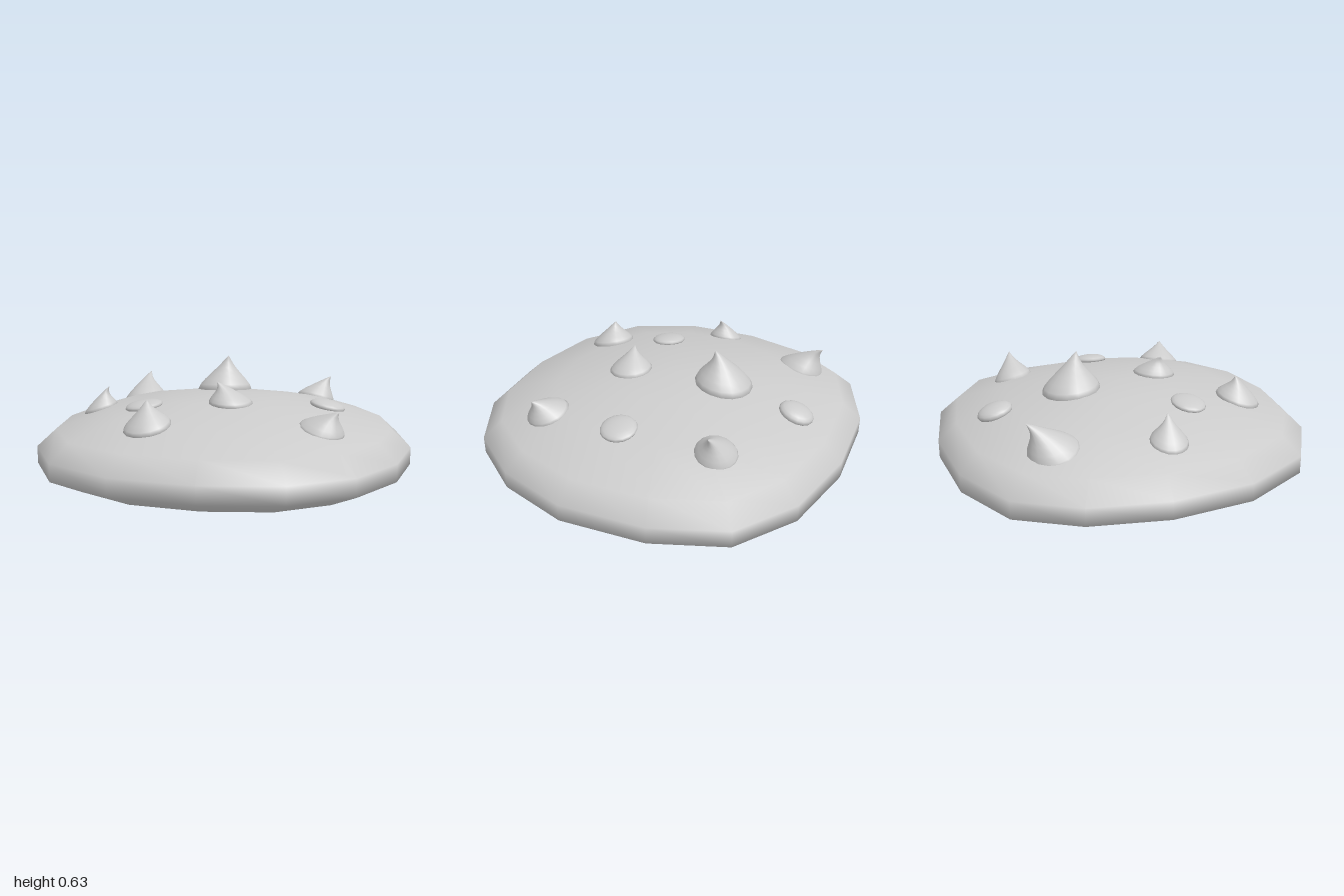
import * as THREE from 'three';
import { mergeVertices } from 'three/addons/utils/BufferGeometryUtils.js';

const material = new THREE.MeshStandardMaterial({ color: 0xcccccc });

// biscuit cross-section, bottom to top: [radius, height]
const PROFILE = [
  [0, 0], [0.45, 0.008], [0.84, 0.035], [1, 0.11], [1, 0.2],
  [0.9, 0.29], [0.62, 0.38], [0.3, 0.435], [0, 0.455],
];

// uneven rim seen from above: [x, z]
const RIM = [
  [0.04, 0.975], [0.43, 0.92], [0.73, 0.73], [0.915, 0.43],
  [0.995, 0.05], [0.93, -0.39], [0.76, -0.74], [0.44, -0.925],
  [0.01, -0.98], [-0.44, -0.925], [-0.78, -0.75], [-0.945, -0.45],
  [-1, -0.06], [-0.94, 0.36], [-0.73, 0.72], [-0.38, 0.92],
];

// join the lathe seam and shade smoothly
function smooth(geometry) {
  geometry.deleteAttribute('uv');
  geometry.deleteAttribute('normal');
  const merged = mergeVertices(geometry, 1e-5);
  merged.computeVertexNormals();
  return merged;
}

// height of the biscuit's top at (x, z)
function topHeight(x, z) {
  const r = Math.hypot(x, z) / 0.985;
  for (let i = PROFILE.length - 1; i > 4; i--) {
    const [r0, y0] = PROFILE[i];
    const [r1, y1] = PROFILE[i - 1];
    if (r <= r1) return y0 + (y1 - y0) * (r - r0) / (r1 - r0);
  }
  return 0.2;
}

// rotation from upright to the slope of the top at (x, z)
function topTilt(x, z) {
  const e = 0.1;
  const normal = new THREE.Vector3(
    topHeight(x - e, z) - topHeight(x + e, z), 2 * e,
    topHeight(x, z - e) - topHeight(x, z + e)).normalize();
  return new THREE.Quaternion().setFromUnitVectors(new THREE.Vector3(0, 1, 0), normal);
}

function makeBiscuit() {
  const points = PROFILE.map(([r, y]) => new THREE.Vector2(r, y));
  const geometry = new THREE.LatheGeometry(points, RIM.length);
  const pos = geometry.attributes.position;
  for (let i = 0; i < pos.count; i++) {
    const [r] = PROFILE[i % PROFILE.length];
    const [x, z] = RIM[Math.floor(i / PROFILE.length) % RIM.length];
    pos.setX(i, r * x);
    pos.setZ(i, r * z);
  }
  return new THREE.Mesh(smooth(geometry), material);
}

// teardrop chip whose point curls over to a given tip
function makePointedChip([x, z, radius, tipX, tipY, tipZ]) {
  const base = new THREE.Vector3(x, topHeight(x, z), z);
  const tilt = topTilt(x, z);
  const tip = new THREE.Vector3(tipX, tipY, tipZ).sub(base).applyQuaternion(tilt.clone().invert());
  const spine = new THREE.QuadraticBezierCurve3(
    new THREE.Vector3(),
    new THREE.Vector3(tip.x * 0.25, tip.y * 0.65, tip.z * 0.25), tip);
  const shape = [
    [0.9, -0.18], [1, 0], [0.93, 0.1], [0.76, 0.24], [0.55, 0.4],
    [0.36, 0.56], [0.2, 0.73], [0.09, 0.88], [0, 1],
  ];
  const geometry = new THREE.LatheGeometry(shape.map(([r, t]) => new THREE.Vector2(r * radius, t)), 16);
  const pos = geometry.attributes.position;
  for (let i = 0; i < pos.count; i++) {
    const t = pos.getY(i);
    const c = spine.getPoint(Math.max(t, 0));
    const y = t < 0 ? t * tip.y : c.y;
    pos.setXYZ(i, pos.getX(i) + c.x, y, pos.getZ(i) + c.z);
  }
  const mesh = new THREE.Mesh(smooth(geometry), material);
  mesh.position.copy(base);
  mesh.quaternion.copy(tilt);
  return mesh;
}

// chip sunk upside down, showing only a low button
function makeFlatChip([x, z, rx, rz, height]) {
  const mesh = new THREE.Mesh(new THREE.SphereGeometry(1, 16, 10), material);
  mesh.scale.set(rx, height, rz);
  mesh.position.set(x, topHeight(x, z) + 0.008, z);
  mesh.quaternion.copy(topTilt(x, z));
  return mesh;
}

export function createModel() {
  const model = new THREE.Group();
  const add = (mesh, name) => {
    mesh.name = name;
    model.add(mesh);
  };

  add(makeBiscuit(), 'biscuit');

  // x, z, radius, then tip x, y, z
  [
    [-0.05, -0.28, 0.155, -0.02, 0.63, -0.24],
    [-0.59, -0.5, 0.13, -0.58, 0.48, -0.63],
    [0.46, -0.5, 0.11, 0.55, 0.49, -0.5],
    [-0.695, 0.03, 0.095, -0.64, 0.48, 0.04],
    [0.07, 0.225, 0.115, 0, 0.55, 0.24],
    [0.55, 0.43, 0.115, 0.635, 0.45, 0.465],
    [-0.28, 0.575, 0.12, -0.285, 0.5, 0.555],
  ].forEach((chip, i) => add(makePointedChip(chip), `pointedChip${i + 1}`));

  // x, z, half width, half depth, height
  [
    [-0.07, -0.69, 0.085, 0.095, 0.04],
    [-0.385, 0.25, 0.1, 0.09, 0.028],
    [0.555, -0.01, 0.095, 0.095, 0.03],
  ].forEach((chip, i) => add(makeFlatChip(chip), `flatChip${i + 1}`));

  return model;
}
